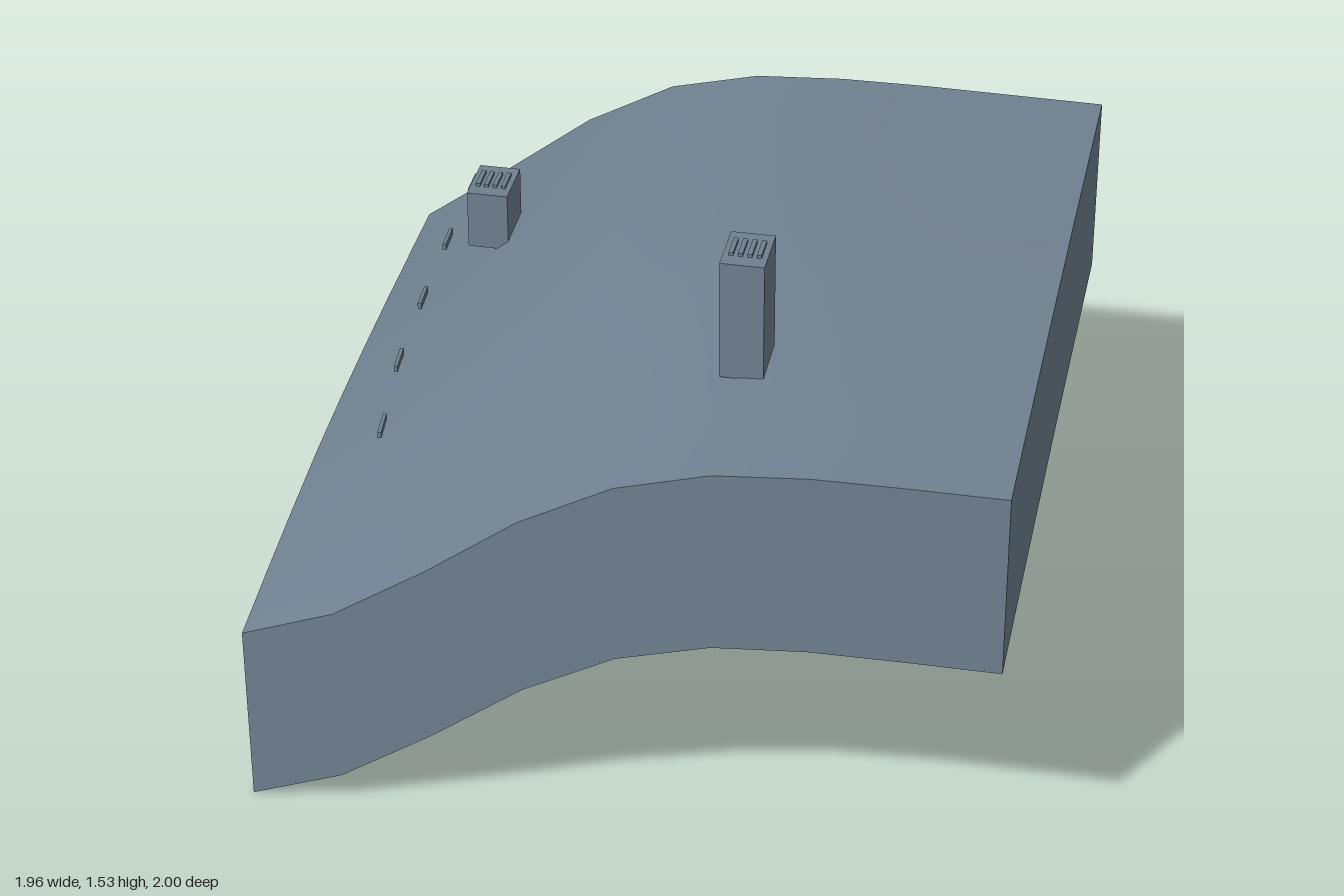
import * as THREE from 'three';

// Roof heights from right to left side at the front edge and along the ridge line
const FRONT = [0.525, 0.62, 0.785, 0.97, 1.105, 1.175, 1.197, 1.2, 1.2];
const REAR = [0.643, 0.825, 1.015, 1.15, 1.21, 1.228, 1.232, 1.231, 1.23];
// Blend between the two, from back to front
const BLEND = [1, 1, 0.99, 0.95, 0.87, 0.74, 0.53, 0.28, 0];
const N = 8, HALF = 0.98, Z_MID = 0.02, DEPTH = 0.52;

function roofPoint(i, j) {
  const x = -HALF + (2 * HALF * i) / N;
  const z = Z_MID - HALF + (2 * HALF * j) / N;
  // slight fall of the level side towards the back
  const fall = 0.008 * Math.max(0, x) * Math.max(0, 1 - j / 3);
  return [x, THREE.MathUtils.lerp(FRONT[i], REAR[i], BLEND[j]) - fall, z];
}

export function createModel() {
  const group = new THREE.Group();
  const slate = new THREE.MeshStandardMaterial({ color: 0x708090, side: THREE.DoubleSide });
  slate.name = 'slate grey';

  const add = (geometry, name, parent = group) => {
    const mesh = new THREE.Mesh(geometry, slate);
    mesh.name = name;
    parent.add(mesh);
    return mesh;
  };

  // Curved roof sheet
  const roof = new THREE.PlaneGeometry(1, 1, N, N);
  for (let j = 0; j <= N; j++)
    for (let i = 0; i <= N; i++)
      roof.attributes.position.setXYZ(j * (N + 1) + i, ...roofPoint(i, j));
  roof.computeVertexNormals();
  add(roof, 'roof');

  // Skirt walls hanging from the four roof edges, open underneath
  const edges = {
    frontWall: (k) => roofPoint(k, N),
    leftWall: (k) => roofPoint(N, N - k),
    backWall: (k) => roofPoint(N - k, 0),
    rightWall: (k) => roofPoint(0, k),
  };
  for (const [name, edge] of Object.entries(edges)) {
    const wall = new THREE.PlaneGeometry(1, 1, N, 1);
    for (let k = 0; k <= N; k++) {
      const [x, y, z] = edge(k);
      wall.attributes.position.setXYZ(k, x, y, z);
      wall.attributes.position.setXYZ(N + 1 + k, x, y - DEPTH, z);
    }
    wall.computeVertexNormals();
    add(wall, name);
  }

  // Chimneys with raised slats on top
  const chimneys = [
    ['rightChimney', -0.655, -0.47, 0.9, 1.07],
    ['leftChimney', 0.243, 0.51, 1.195, 1.528],
  ];
  for (const [name, x, z, bottom, top] of chimneys) {
    const chimney = new THREE.Group();
    chimney.name = name;
    chimney.position.set(x, 0, z);
    group.add(chimney);
    const stack = add(new THREE.BoxGeometry(0.114, top - bottom, 0.158), 'stack', chimney);
    stack.position.y = (top + bottom) / 2;
    for (let k = 0; k < 4; k++) {
      const slat = add(new THREE.BoxGeometry(0.012, 0.009, 0.075), 'slat', chimney);
      slat.position.set((k - 1.5) * 0.024, top + 0.0045, 0);
    }
  }

  // Row of snow guards along the steep side
  const guards = [
    [-0.841, -0.953, 0.01], [-0.838, -0.634, 0.03], [-0.828, -0.308, 0.05],
    [-0.811, 0.02, 0.07], [-0.772, 0.344, 0.1],
  ];
  for (const [x, z, turn] of guards) {
    const guard = add(new THREE.BoxGeometry(0.01, 0.018, 0.093), 'snowGuard');
    guard.position.set(x, 0.766, z);
    guard.rotation.y = turn;
  }

  return group;
}
